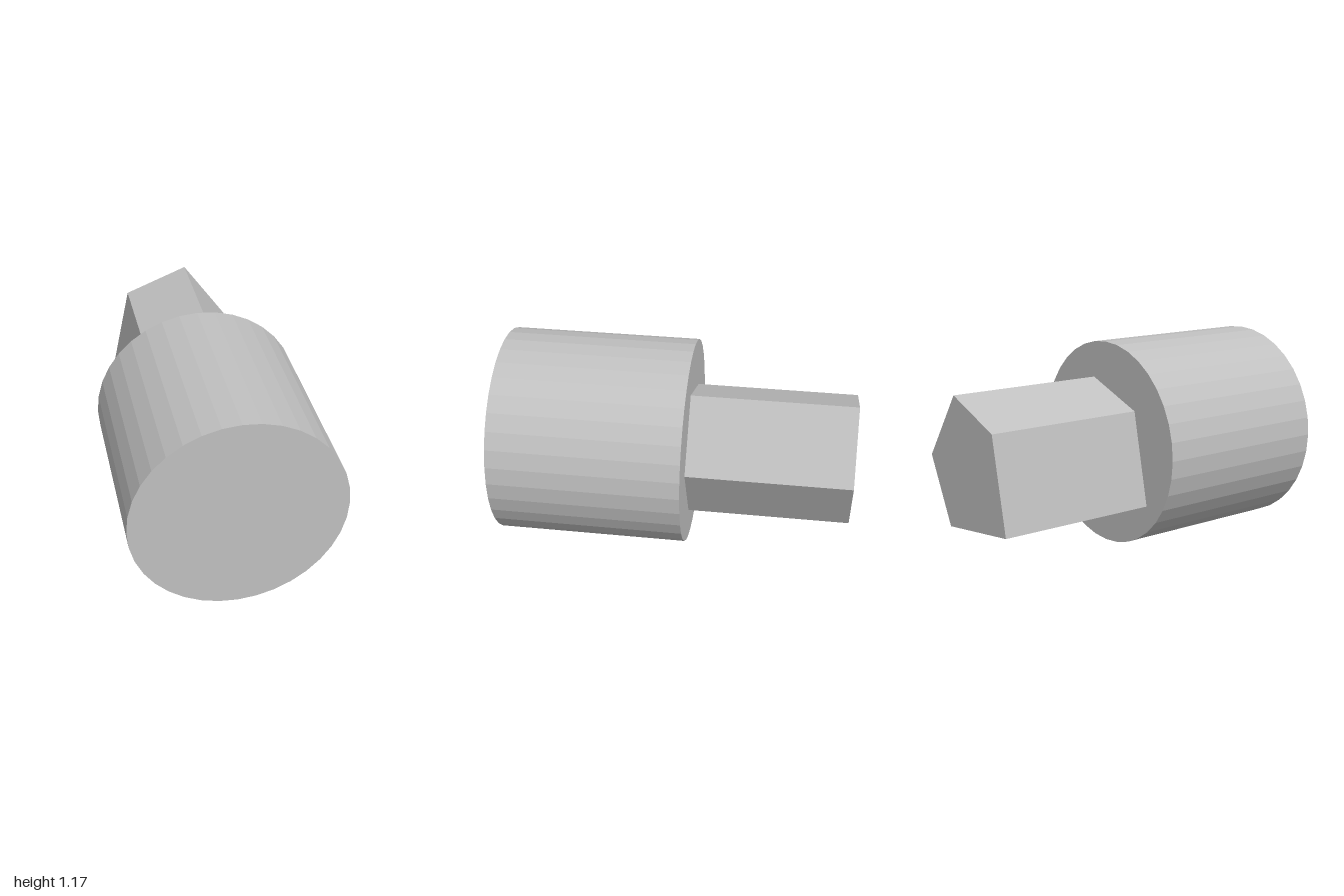
import * as THREE from 'three';

export function createModel() {
  const model = new THREE.Group();
  const grey = new THREE.MeshStandardMaterial({ color: 0xc0c0c0, flatShading: true });
  grey.name = 'plain grey';

  const radius = 0.586; // also the height of the shared axis
  const joint = -0.07;  // z where the shank meets the head

  // Faceted round head, lying along z
  const headLength = 1 - joint;
  const head = new THREE.Mesh(new THREE.CylinderGeometry(radius, radius, headLength, 36), grey);
  head.name = 'head';
  head.rotation.x = Math.PI / 2;
  head.position.set(0, radius, joint + headLength / 2);
  model.add(head);

  // Irregular five-sided shank behind the head
  const section = [[0.37, 0], [0.11, 0.37], [-0.26, 0.225], [-0.37, -0.3], [0.185, -0.37]];
  const shape = new THREE.Shape(section.map(([x, y]) => new THREE.Vector2(x, y)));
  const shank = new THREE.Mesh(
    new THREE.ExtrudeGeometry(shape, { depth: joint + 1, bevelEnabled: false }), grey);
  shank.name = 'shank';
  shank.position.set(0, radius, -1);
  model.add(shank);

  return model;
}
